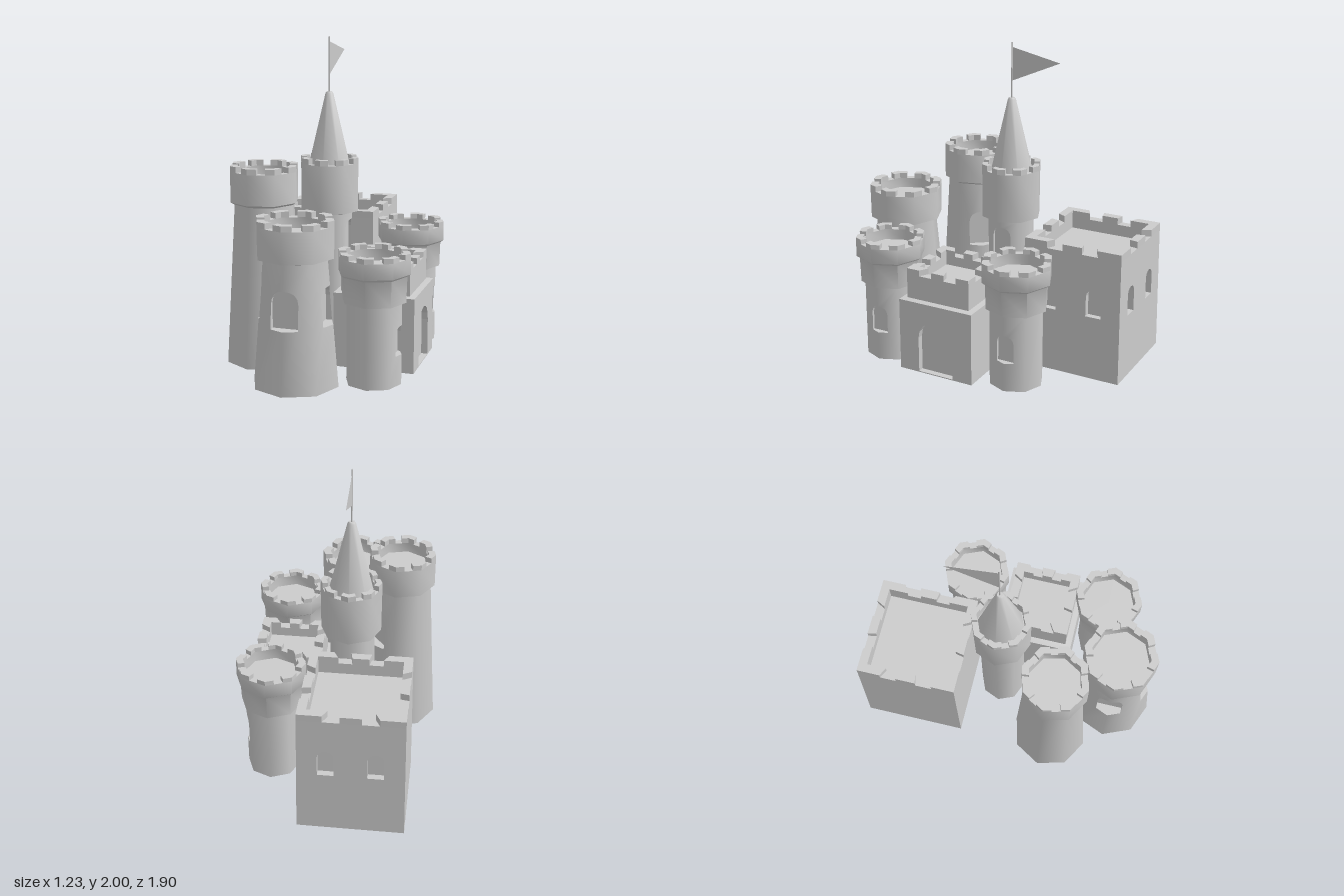
import * as THREE from 'three';
import { mergeGeometries, toCreasedNormals } from 'three/addons/utils/BufferGeometryUtils.js';

const stone = new THREE.MeshStandardMaterial({ color: 0xcccccc, side: THREE.DoubleSide });
const V2 = (x, y) => new THREE.Vector2(x, y);

function add(parent, name, geometry) {
  const mesh = new THREE.Mesh(geometry, stone);
  mesh.name = name;
  parent.add(mesh);
  return mesh;
}

// Right half of a pointed arch, from the sill centre up to the tip
function halfArch({ w, y0, y1 }) {
  const spring = y1 - Math.min(w, (y1 - y0) * 0.5), h = y1 - spring;
  return [V2(0, y0), V2(w, y0), V2(w, spring), V2(w * 0.93, spring + h * 0.38),
    V2(w * 0.74, spring + h * 0.7), V2(w * 0.42, spring + h * 0.9), V2(0, y1)];
}

function fullArch(win) {
  const half = halfArch(win);
  return [...half, ...half.slice(1, -1).reverse().map(p => V2(-p.x, p.y))];
}

// Moves flat (t, y, s) points to the wall facing angle phi; s is the distance from the axis
function toWall(geometry, phi, depth) {
  const pos = geometry.attributes.position;
  for (let i = 0; i < pos.count; i++) {
    const t = pos.getX(i), y = pos.getY(i), s = depth ? depth(y) : pos.getZ(i);
    pos.setXYZ(i, s * Math.sin(phi) + t * Math.cos(phi), y, s * Math.cos(phi) - t * Math.sin(phi));
  }
  geometry.computeVertexNormals();
  geometry.deleteAttribute('uv');
  return geometry.toNonIndexed();
}

// Reveal and back panel of a window niche
function niche(win, phi, front) {
  const c = win.c || 0, pts = fullArch(win), pos = [];
  pts.forEach((p, i) => {
    const q = pts[(i + 1) % pts.length];
    const a = [c + p.x, p.y, front(p.x, p.y)], b = [c + q.x, q.y, front(q.x, q.y)];
    const a2 = [c + p.x, p.y, win.back], b2 = [c + q.x, q.y, win.back];
    pos.push(...a, ...b, ...b2, ...a, ...b2, ...a2);
  });
  const reveal = new THREE.BufferGeometry();
  reveal.setAttribute('position', new THREE.Float32BufferAttribute(pos, 3));
  const panel = new THREE.ShapeGeometry(new THREE.Shape(pts.map(p => V2(c + p.x, p.y))));
  return [toWall(reveal, phi), toWall(panel, phi, () => win.back)];
}

// Tapered n-sided shaft, open below; windows sit on a corner or within a side
function shaft({ n, rot = 0, r0, r1, h, corners = {}, sides = {} }) {
  const step = Math.PI * 2 / n, half = step / 2;
  const R = y => r0 + (r1 - r0) * y / h;
  const apothem = y => R(y) * Math.cos(half), hw = y => R(y) * Math.sin(half);
  const walls = [], niches = [];
  for (let k = 0; k < n; k++) {
    const phi = rot + (k + 0.5) * step;
    const notch = (win, sign) => win
      ? halfArch(win).map(p => V2(sign * (hw(p.y) - p.x / Math.cos(half)), p.y)) : [];
    const shape = new THREE.Shape([
      V2(-hw(0), 0), V2(hw(0), 0), ...notch(corners[(k + 1) % n], 1),
      V2(hw(h), h), V2(-hw(h), h), ...notch(corners[k], -1).reverse()]);
    for (const win of sides[k] || []) {
      shape.holes.push(new THREE.Path(fullArch(win).map(p => V2(win.c + p.x, p.y))));
      niches.push(...niche(win, phi, (u, y) => apothem(y)));
    }
    walls.push(toWall(new THREE.ShapeGeometry(shape), phi, apothem));
    if (corners[k])
      niches.push(...niche(corners[k], rot + k * step, (u, y) => R(y) - Math.abs(u) * Math.tan(half)));
  }
  const wall = mergeGeometries(walls);
  // Many-sided shafts are shaded round
  if (n > 4) {
    const p = wall.attributes.position, nor = wall.attributes.normal;
    for (let i = 0; i < p.count; i++) {
      const l = Math.hypot(p.getX(i), p.getZ(i));
      nor.setXYZ(i, p.getX(i) / l, 0, p.getZ(i) / l);
    }
  }
  return mergeGeometries([wall, ...niches]);
}

// Stepped parapet with its floor
function lathe(profile, n, rot) {
  const g = new THREE.LatheGeometry(profile.map(p => V2(...p)), n);
  g.rotateY(rot);
  return toCreasedNormals(g, 0.9);
}

// Merlons: one wrapping each corner, and optionally one in the middle of each side
function merlons({ n, rot, ro, ri, y, top, f, mid }) {
  const at = (r, k) => V2(r * Math.sin(rot + k * 2 * Math.PI / n), -r * Math.cos(rot + k * 2 * Math.PI / n));
  const along = (r, k, m, t) => at(r, k).lerp(at(r, m), t);
  const block = pts => new THREE.ExtrudeGeometry(new THREE.Shape(pts),
    { depth: top - y, bevelEnabled: false }).rotateX(-Math.PI / 2).translate(0, y, 0);
  const out = [];
  for (let k = 0; k < n; k++) {
    out.push(block([along(ro, k, k - 1, f), at(ro, k), along(ro, k, k + 1, f),
      along(ri, k, k + 1, f), at(ri, k), along(ri, k, k - 1, f)]));
    if (mid) out.push(block([along(ro, k, k + 1, mid), along(ro, k, k + 1, 1 - mid),
      along(ri, k, k + 1, 1 - mid), along(ri, k, k + 1, mid)]));
  }
  return mergeGeometries(out);
}

function tower(parent, name, x, z, o) {
  const group = new THREE.Group();
  group.name = name;
  group.position.set(x, 0, z);
  parent.add(group);
  const { n = 8, rot = 0, ro, ri, crenel, top, floor, f = 0.33, mid } = o;
  add(group, 'shaft', shaft({ n, rot, ...o }));
  add(group, 'parapet', lathe([...o.head, [ro, crenel], [ri, crenel], [ri, floor], [0, floor]], n, rot));
  add(group, 'merlons', merlons({ n, rot, ro, ri, y: crenel, top, f, mid }));
  return group;
}

export function createModel() {
  const castle = new THREE.Group();
  castle.name = 'castle';
  const Q = Math.SQRT2;

  // Square keep with paired windows
  const pair = [-0.15, 0.15].map(c => ({ c, w: 0.05, y0: 0.41, y1: 0.59, back: 0.285 }));
  tower(castle, 'keep', -0.17, -0.62, {
    n: 4, rot: -Math.PI / 4, r0: 0.33 * Q, r1: 0.321 * Q, h: 0.7,
    sides: { 1: pair, 2: pair }, head: [[0.321 * Q, 0.7]],
    ro: 0.32 * Q, ri: 0.265 * Q, crenel: 0.805, top: 0.848, floor: 0.73, f: 0.235, mid: 0.4
  });

  // Gatehouse with arched door
  tower(castle, 'gatehouse', 0.335, 0.09, {
    n: 4, rot: -Math.PI / 4, r0: 0.255 * Q, r1: 0.255 * Q, h: 0.47,
    sides: { 1: [{ c: 0, w: 0.12, y0: 0.006, y1: 0.355, back: 0.215 }] },
    head: [[0.255 * Q, 0.47], [0.217 * Q, 0.475]],
    ro: 0.217 * Q, ri: 0.16 * Q, crenel: 0.632, top: 0.67, floor: 0.57, f: 0.2, mid: 0.4
  });

  // Twin gate towers
  for (const z of [-0.37, 0.53]) tower(castle, 'gateTower', 0.39, z, {
    r0: 0.17, r1: 0.17, h: 0.5, corners: { 2: { w: 0.056, y0: 0.185, y1: 0.365, back: 0.13 } },
    head: [[0.17, 0.5], [0.195, 0.502], [0.2, 0.66], [0.22, 0.675]],
    ro: 0.22, ri: 0.175, crenel: 0.77, top: 0.8, floor: 0.7
  });

  // Broad front tower
  const wide = { w: 0.083, y0: 0.38, y1: 0.615, back: 0.16 };
  tower(castle, 'frontTower', -0.045, 0.685, {
    r0: 0.265, r1: 0.2, h: 0.77, corners: { 0: wide, 2: wide, 6: wide },
    head: [[0.2, 0.765], [0.238, 0.775]],
    ro: 0.24, ri: 0.19, crenel: 0.965, top: 1, floor: 0.9
  });

  // Tall side tower
  tower(castle, 'tallTower', -0.37, 0.322, {
    rot: -8 * Math.PI / 180, r0: 0.25, r1: 0.19, h: 1.01,
    corners: { 3: { w: 0.08, y0: 0.58, y1: 0.815, back: 0.155 } },
    head: [[0.19, 1.0], [0.216, 1.015]],
    ro: 0.216, ri: 0.17, crenel: 1.205, top: 1.24, floor: 1.14
  });

  // Spired tower with pole and pennant
  const spired = tower(castle, 'spireTower', -0.08, -0.085, {
    r0: 0.15, r1: 0.15, h: 0.89, corners: { 2: { w: 0.06, y0: 0.61, y1: 0.845, back: 0.11 } },
    head: [[0.15, 0.885], [0.19, 0.895]],
    ro: 0.192, ri: 0.155, crenel: 1.205, top: 1.24, floor: 1.14
  });
  add(spired, 'spire', lathe([[0.149, 1.14], [0.026, 1.645], [0.018, 1.655], [0, 1.655]], 8, 0));
  add(spired, 'flagPole', new THREE.CylinderGeometry(0.005, 0.005, 0.35, 8)).position.y = 1.825;
  const flag = new THREE.Shape([V2(0, 1.76), V2(0.325, 1.9), V2(0, 1.97)]);
  add(spired, 'flag', new THREE.ShapeGeometry(flag)).rotation.y = Math.PI / 2;

  return castle;
}
